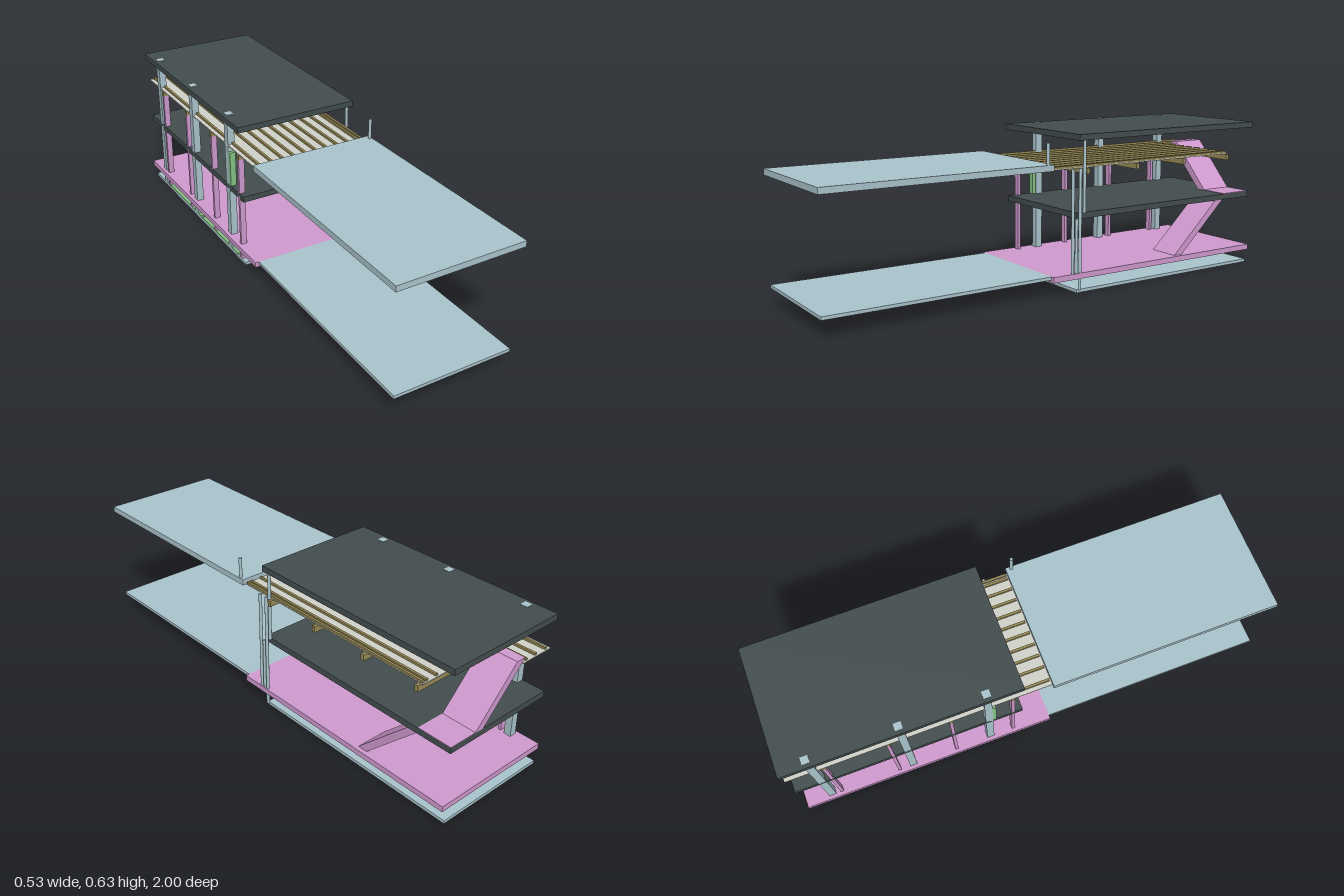
import * as THREE from 'three';

const mat = (name, color) => {
  const m = new THREE.MeshStandardMaterial({ color });
  m.name = name;
  return m;
};

export function createModel() {
  const model = new THREE.Group();
  model.name = 'pavilion';
  const paleBlue = mat('paleBlue', 0xa9c3cb);
  const charcoal = mat('charcoal', 0x434d4e);
  const pink = mat('pink', 0xcf99ce);
  const timber = mat('timber', 0x978a56);
  const board = mat('board', 0xd0d1c8);
  const green = mat('green', 0x84c284);

  const add = (name, geometry, material) => {
    const mesh = new THREE.Mesh(geometry, material);
    mesh.name = name;
    model.add(mesh);
    return mesh;
  };
  // Box given by its extents on each axis
  const box = (name, material, [x0, x1], [y0, y1], [z0, z1]) =>
    add(name, new THREE.BoxGeometry(x1 - x0, y1 - y0, z1 - z0), material)
      .position.set((x0 + x1) / 2, (y0 + y1) / 2, (z0 + z1) / 2);
  const prism = (points, depth) =>
    new THREE.ExtrudeGeometry(
      new THREE.Shape(points.map(([x, y]) => new THREE.Vector2(x, y))),
      { depth, bevelEnabled: false });

  const wide = [-0.265, 0.26];
  const narrow = [-0.25, 0.245];
  const house = [-1, -0.06];
  const deck = [0.06, 1];

  // Horizontal slabs
  box('baseSlab', paleBlue, narrow, [0, 0.013], house);
  box('groundFloor', pink, wide, [0.06, 0.083], [-1, 0.06]);
  box('lowerDeck', paleBlue, narrow, [0.07, 0.083], deck);
  box('middleFloor', charcoal, narrow, [0.297, 0.321], house);
  box('upperDeck', paleBlue, wide, [0.497, 0.521], deck);
  box('roof', charcoal, wide, [0.605, 0.629], house);

  // Square columns, just breaking through the roof
  for (const z of [-0.2, -0.54, -0.89])
    box('column', paleBlue, [-0.25, -0.22], [0.01, 0.631], [z - 0.015, z + 0.015]);

  // Timber cross beams, each carried by a slim post
  for (const z of [-0.1, -0.35, -0.6, -0.85]) {
    box('slimPost', pink, [-0.25, -0.225], [0.013, 0.473], [z - 0.0065, z + 0.0065]);
    box('crossBeam', timber, [-0.25, 0.262], [0.473, 0.497], [z - 0.0075, z + 0.0075]);
  }

  // Ceiling board with a stair opening at the back
  box('ceilingBoard', board, narrow, [0.497, 0.501], [-0.865, 0.06]);
  box('ceilingLanding', board, [-0.25, -0.1], [0.497, 0.501], [-1, -0.865]);

  // Joists on top of the board
  for (const x of [-0.228, -0.172, -0.122, -0.073, -0.022, 0.026, 0.075, 0.126, 0.175, 0.222, 0.239])
    box('joist', timber, [x - 0.005, x + 0.005], [0.501, 0.509],
      [x < -0.11 ? -0.995 : -0.86, 0.055]);

  // Stairs between floors
  const lower = prism([[0.578, 0.083], [0.62, 0.083], [0.85, 0.297], [0.808, 0.297]], 0.135);
  lower.rotateY(Math.PI / 2);
  add('lowerStair', lower, pink).position.x = 0.107;
  const upper = prism([[0.083, 0.321], [0.125, 0.321], [-0.064, 0.521], [-0.107, 0.521]], 0.145);
  add('upperStair', upper, pink).position.z = -1;
  box('stairLanding', pink, [0.1, 0.245], [0.321, 0.323], [-1, -0.855]);

  // Round posts at the front corner: z, bottom, top
  for (const [z, y0, y1] of [
    [0.083, 0.521, 0.605], [-0.035, 0.083, 0.497], [-0.053, 0.083, 0.3],
    [-0.07, 0.013, 0.497], [-0.09, 0.321, 0.605]])
    add('roundPost', new THREE.CylinderGeometry(0.0065, 0.0065, y1 - y0, 16), paleBlue)
      .position.set(0.2515, (y0 + y1) / 2, z);

  // Green planters and panel along the column line
  for (const span of [[-0.48, -0.13], [-0.84, -0.495]])
    box('planter', green, [-0.25, -0.225], [0.013, 0.02], span);
  box('greenPanel', green, [-0.25, -0.225], [0.321, 0.47], [-0.185, -0.17]);

  return model;
}
